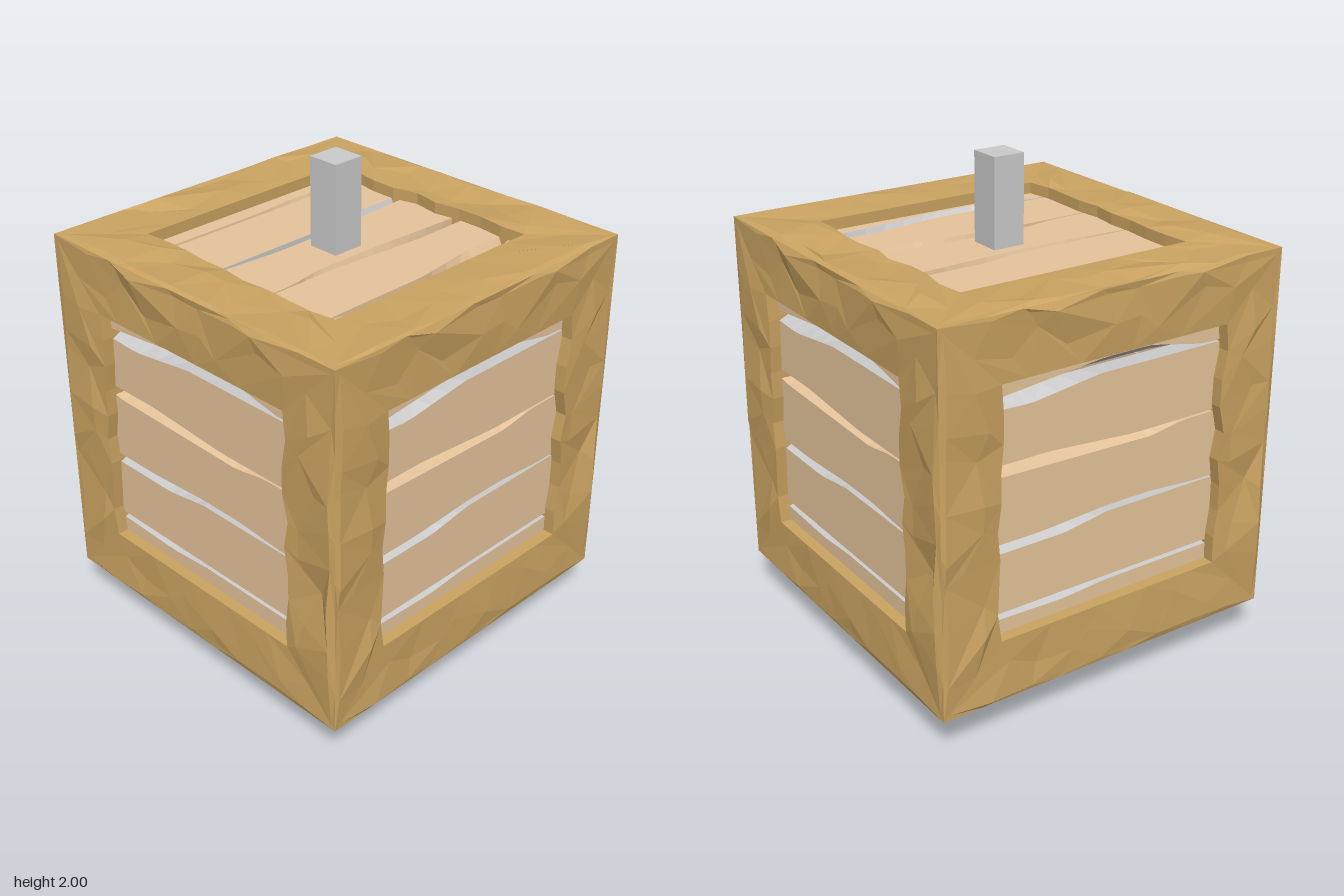
import * as THREE from 'three';

const CENTRE = 0.93, HALF = 0.757, OPEN = 0.505;
const material = (color) => new THREE.MeshStandardMaterial({ color, flatShading: true });
const beamMat = material(0xcba462), plankMat = material(0xe7c59c), greyMat = material(0xcccccc);

// Skins consecutive rows of points with quads, alternating the diagonals.
function skin(rows, out = []) {
  for (let r = 0; r < rows.length - 1; r++) {
    for (let i = 0; i < rows[r].length - 1; i++) {
      const a = rows[r][i], b = rows[r][i + 1], c = rows[r + 1][i + 1], d = rows[r + 1][i];
      const tris = (r + i) % 2 ? [a, b, c, a, c, d] : [a, b, d, b, c, d];
      tris.forEach((p) => out.push(...p));
    }
  }
  return out;
}

function mesh(name, positions, mat) {
  const geo = new THREE.BufferGeometry();
  geo.setAttribute('position', new THREE.Float32BufferAttribute(positions, 3));
  geo.computeVertexNormals();
  const m = new THREE.Mesh(geo, mat);
  m.name = name;
  return m;
}

function seeded(seed) {
  let s = seed;
  return () => (s = (s * 16807) % 2147483647) / 2147483647;
}

// Four mitred, roughly hewn beams around one square opening, facing +z.
function buildFrame() {
  const frame = new THREE.Group();
  frame.name = 'faceFrame';
  const rnd = seeded(4711), N = 9;
  // [half width, height, roughness]
  const rings = [[HALF, HALF, 0], [0.735, 0.762, 0.011], [0.62, 0.76, 0.012],
    [OPEN, 0.757, 0], [OPEN, 0.64, 0], [0.66, 0.64, 0]];
  for (let side = 0; side < 4; side++) {
    const upright = side % 2 === 1;
    const wave = Array.from({ length: N + 1 }, () => (rnd() - 0.4) * 0.03);
    const rows = rings.map(([h, z, rough], r) => Array.from({ length: N + 1 }, (_, i) => {
      const end = i === 0 || i === N;
      let u = -1 + (2 * i) / N, hh = h, zz = z;
      if (end) zz = Math.min(z, HALF);
      else if (rough) {
        u += (rnd() - 0.5) * 0.14;
        hh += (rnd() - 0.5) * (r === 2 ? 0.12 : 0.02);
        zz += (rnd() - 0.45) * 2 * rough;
        // split in the right-hand beam
        if (side === 1 && r === 2 && i === 3) zz -= 0.02;
      } else if (upright && (r === 3 || r === 4)) hh += wave[i];
      const x = u * h, y = -hh, a = (side * Math.PI) / 2;
      return [x * Math.cos(a) - y * Math.sin(a), x * Math.sin(a) + y * Math.cos(a), zz];
    }));
    frame.add(mesh('frameBeam', skin(rows), beamMat));
  }
  return frame;
}

// Linear interpolation of a chip outline; zero beyond its ends.
function chipAt(pts, x) {
  for (let i = 0; i < pts.length - 1; i++) {
    const [x0, d0] = pts[i], [x1, d1] = pts[i + 1];
    if (x >= x0 && x <= x1) return d0 + ((d1 - d0) * (x - x0)) / (x1 - x0);
  }
  return 0;
}

// Chips beside each gap, from the highest gap down: above it, below it, and whether they are grey.
const sideChips = [
  { above: [[-0.52, 0], [-0.03, 0.05], [0.18, 0.05], [0.43, 0]], below: [[-0.56, 0.03], [-0.35, 0.04], [-0.05, 0]], grey: [true, true] },
  { above: [[-0.56, 0.03], [-0.27, 0.03], [0.12, 0]], below: [[-0.5, 0.008], [0, 0.02], [0.2, 0.025], [0.35, 0]], grey: [false, false] },
  { above: [[-0.3, 0], [0, 0.018], [0.2, 0.018], [0.43, 0]], below: [[-0.56, 0.03], [-0.2, 0.03], [0, 0]], grey: [true, true] },
  { above: [], below: [[-0.56, 0.015], [-0.2, 0.025], [0, 0.01], [0.56, 0.01]], grey: [false, true] },
];
const lidChips = [
  { above: [[-0.56, 0.01], [0, 0.01], [0.2, 0.025], [0.56, 0.015]], below: [], grey: [false, false] },
  { above: [[0.03, 0], [0.18, 0.03], [0.56, 0.03]], below: [[-0.5, 0], [-0.2, 0.025], [0, 0.025], [0.5, 0]], grey: [true, false] },
  { above: [[-0.35, 0], [-0.22, 0.025], [0.05, 0.025], [0.5, 0]], below: [[-0.15, 0], [0.27, 0.035], [0.56, 0.035]], grey: [false, false] },
  { above: [[0.03, 0], [0.33, 0.04], [0.56, 0.03]], below: [[-0.45, 0], [-0.18, 0.06], [0, 0.06], [0.5, 0.01]], grey: [false, true] },
];

// Five planks separated by thin gaps, with bevelled chips along their edges.
function buildPlanks(chips) {
  const panel = new THREE.Group();
  panel.name = 'plankPanel';
  const FRONT = 0.71, BACK = 0.635, GAP = 0.004, N = 24;
  const gapY = [0.425, 0.141, -0.141, -0.424];
  const xs = Array.from({ length: N + 1 }, (_, i) => -0.56 + (1.12 * i) / N);
  for (let p = 0; p < 5; p++) {
    const over = chips[p - 1], under = chips[p];
    const top = over ? gapY[p - 1] - GAP : 0.58;
    const bottom = under ? gapY[p] + GAP : -0.58;
    const frontTop = xs.map((x) => [x, top - (over ? chipAt(over.below, x) : 0), FRONT]);
    const frontBottom = xs.map((x) => [x, bottom + (under ? chipAt(under.above, x) : 0), FRONT]);
    const backTop = xs.map((x) => [x, top, BACK]);
    const backBottom = xs.map((x) => [x, bottom, BACK]);
    const plank = new THREE.Group();
    plank.name = 'plank';
    plank.add(
      mesh('plankFaces', skin([backTop, backBottom], skin([frontBottom, frontTop])), plankMat),
      mesh('plankUpperEdge', skin([frontTop, backTop]), over && over.grey[1] ? greyMat : plankMat),
      mesh('plankLowerEdge', skin([backBottom, frontBottom]), under && under.grey[0] ? greyMat : plankMat),
    );
    panel.add(plank);
  }
  return panel;
}

export function createModel() {
  const model = new THREE.Group();
  model.name = 'crateOnPost';

  // Six framed faces of the crate
  const crate = new THREE.Group();
  crate.name = 'crate';
  crate.position.y = CENTRE;
  const q = Math.PI / 2;
  const faces = [
    ['front', 0, 0], ['right', 0, q], ['back', 0, 2 * q], ['left', 0, -q],
    ['top', -q, 0], ['bottom', q, 0],
  ];
  for (const [name, rx, ry] of faces) {
    const face = new THREE.Group();
    face.name = name + 'Face';
    face.rotation.set(rx, ry, 0);
    face.add(buildFrame(), buildPlanks(rx ? lidChips : sideChips));
    crate.add(face);
  }
  model.add(crate);

  // Square post running through the middle
  const post = new THREE.Mesh(new THREE.BoxGeometry(0.135, 2, 0.135), greyMat);
  post.name = 'post';
  post.position.y = 1;
  model.add(post);
  return model;
}
